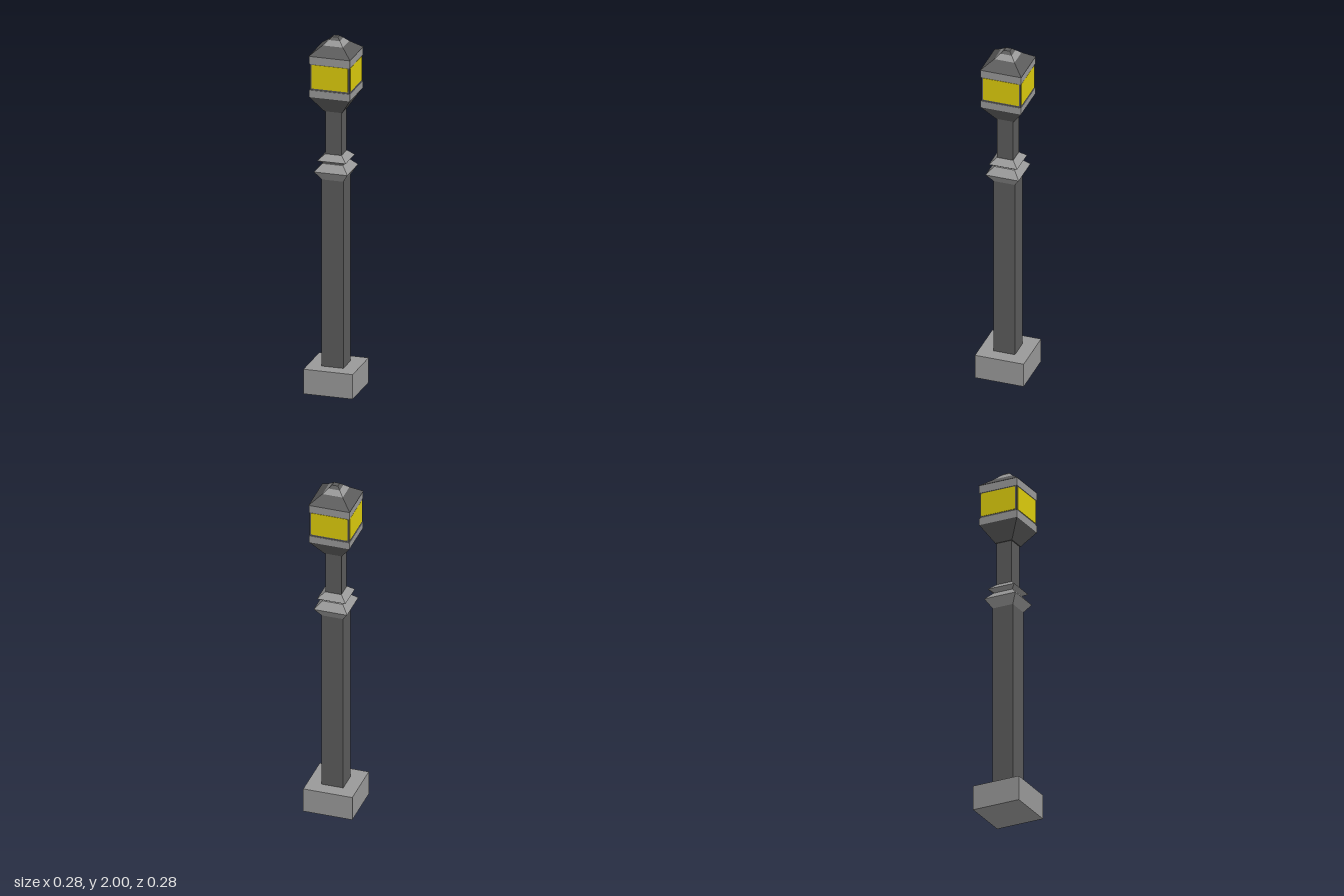
import * as THREE from 'three';

export function createModel() {
  const model = new THREE.Group();
  model.name = 'lampPost';

  const stone = new THREE.MeshStandardMaterial({ color: 0x999999, flatShading: true });
  stone.name = 'light grey';
  const iron = new THREE.MeshStandardMaterial({ color: 0x5b5b5b, flatShading: true });
  iron.name = 'dark grey';
  const glow = new THREE.MeshStandardMaterial({ color: 0xdccb0c, flatShading: true });
  glow.name = 'lamp yellow';

  // Square section between two heights, tapering from one half width to another
  function tier(name, material, y0, y1, half0, half1 = half0) {
    const geometry = new THREE.CylinderGeometry(half1 * Math.SQRT2, half0 * Math.SQRT2, y1 - y0, 4);
    geometry.rotateY(Math.PI / 4);
    const mesh = new THREE.Mesh(geometry, material);
    mesh.name = name;
    mesh.position.y = (y0 + y1) / 2;
    model.add(mesh);
  }

  // Plinth and shaft
  tier('plinth', stone, 0, 0.14, 0.138);
  tier('shaft', iron, 0.14, 1.2, 0.061);

  // Two flared collars
  tier('lowerCollarFlare', stone, 1.2, 1.25, 0.061, 0.094);
  tier('lowerCollarTop', stone, 1.25, 1.29, 0.094, 0.058);
  tier('upperCollarFlare', stone, 1.29, 1.31, 0.05, 0.08);
  tier('upperCollarTop', stone, 1.31, 1.342, 0.08, 0.046);

  // Neck and lantern
  tier('neck', iron, 1.342, 1.585, 0.045);
  tier('lanternCup', iron, 1.585, 1.68, 0.05, 0.114);
  tier('lowerRim', stone, 1.68, 1.72, 0.114);
  tier('lanternFrame', iron, 1.72, 1.867, 0.111);
  tier('upperRim', stone, 1.867, 1.912, 0.114);

  // Stepped roof and finial
  tier('roof', iron, 1.912, 1.96, 0.116, 0.057);
  tier('roofCap', stone, 1.96, 1.985, 0.057, 0.032);
  tier('finial', iron, 1.985, 2, 0.032, 0.016);

  // Glass pane on each side, with slightly rounded corners
  const w = 0.102, h = 0.067, r = 0.006;
  const outline = new THREE.Shape();
  outline.moveTo(-w + r, -h).lineTo(w - r, -h).quadraticCurveTo(w, -h, w, -h + r);
  outline.lineTo(w, h - r).quadraticCurveTo(w, h, w - r, h);
  outline.lineTo(-w + r, h).quadraticCurveTo(-w, h, -w, h - r);
  outline.lineTo(-w, -h + r).quadraticCurveTo(-w, -h, -w + r, -h);
  const paneGeometry = new THREE.ExtrudeGeometry(outline, { depth: 0.003, bevelEnabled: false, curveSegments: 3 });
  paneGeometry.translate(0, 1.797, 0.11);
  for (let i = 0; i < 4; i++) {
    const pane = new THREE.Mesh(paneGeometry, glow);
    pane.name = 'pane' + (i + 1);
    pane.rotation.y = i * Math.PI / 2;
    model.add(pane);
  }
  return model;
}
